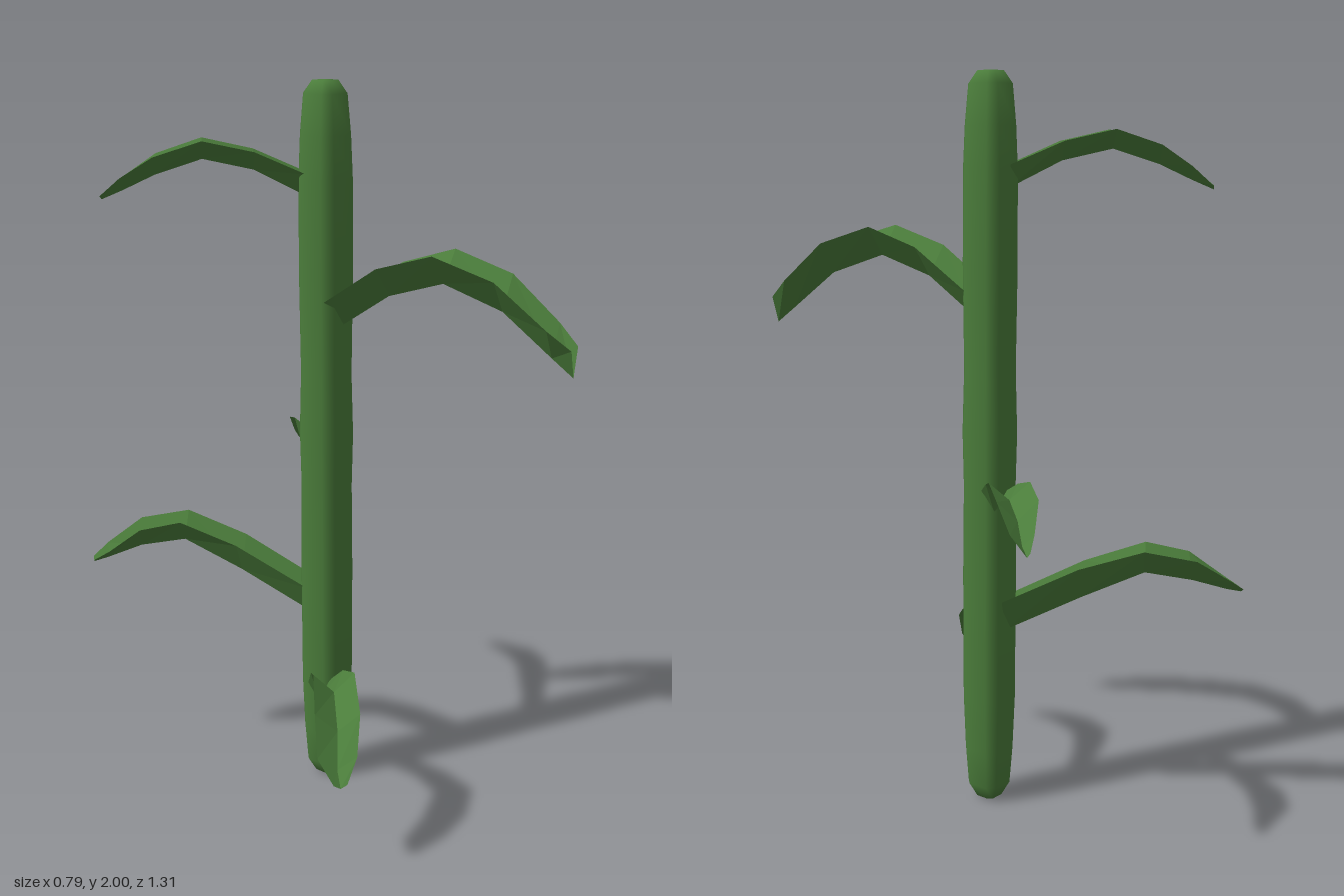
import * as THREE from 'three';

const green = new THREE.MeshStandardMaterial({ color: 0x4b7d3b, side: THREE.DoubleSide });
green.name = 'leaf green';

// Each leaf: stations of [x, z, height of the raised edges, half width, depth of the fold]
const LEAVES = {
  topLeaf: [
    [-0.02, -0.11, 1.76, 0.035, 0.06], [-0.115, -0.21, 1.82, 0.045, 0.05], [-0.215, -0.3, 1.85, 0.05, 0.05],
    [-0.3, -0.39, 1.81, 0.048, 0.05], [-0.355, -0.455, 1.755, 0.035, 0.035], [-0.385, -0.505, 1.705, 0.018, 0.01],
  ],
  frontLeaf: [
    [0.01, -0.03, 1.43, 0.058, 0.08], [0.018, 0.14, 1.54, 0.064, 0.08], [0.036, 0.3, 1.59, 0.066, 0.08],
    [0.07, 0.46, 1.54, 0.066, 0.085], [0.102, 0.59, 1.43, 0.054, 0.08], [0.118, 0.645, 1.38, 0.03, 0.075],
  ],
  rightBackLeaf: [
    [0.045, -0.115, 0.9, 0.035, 0.06], [0.14, -0.22, 0.95, 0.042, 0.05], [0.25, -0.335, 0.99, 0.052, 0.045],
    [0.31, -0.41, 0.965, 0.052, 0.05], [0.36, -0.465, 0.9, 0.03, 0.03], [0.385, -0.5, 0.865, 0.008, 0.01],
  ],
  longBackLeaf: [
    [0, -0.12, 0.59, 0.045, 0.09], [-0.09, -0.31, 0.7, 0.05, 0.09], [-0.17, -0.46, 0.76, 0.055, 0.07],
    [-0.25, -0.56, 0.735, 0.055, 0.065], [-0.325, -0.62, 0.67, 0.038, 0.03], [-0.36, -0.645, 0.64, 0.015, 0.01],
  ],
  lowFrontLeaf: [
    [-0.04, -0.06, 0.31, 0.03, 0.06], [-0.13, 0.05, 0.41, 0.045, 0.055], [-0.205, 0.14, 0.46, 0.056, 0.055],
    [-0.29, 0.225, 0.4, 0.06, 0.05], [-0.35, 0.275, 0.315, 0.052, 0.035], [-0.378, 0.31, 0.26, 0.018, 0.01],
  ],
};

// V-folded strip with raised edges and a low midrib, faceted
function makeLeaf(name, stations) {
  const pos = [], idx = [];
  stations.forEach(([x, z, y, w, d], i) => {
    const a = stations[Math.max(i - 1, 0)], b = stations[Math.min(i + 1, stations.length - 1)];
    const len = Math.hypot(b[0] - a[0], b[1] - a[1]);
    const sx = (b[1] - a[1]) / len * w, sz = -(b[0] - a[0]) / len * w;
    pos.push(x - sx, y, z - sz, x, y - d, z, x + sx, y, z + sz);
    if (i === 0) return;
    for (let k = 0; k < 2; k++) {
      const q = (i - 1) * 3 + k;
      idx.push(q, q + 3, q + 1, q + 1, q + 3, q + 4);
    }
  });
  const indexed = new THREE.BufferGeometry();
  indexed.setAttribute('position', new THREE.Float32BufferAttribute(pos, 3));
  indexed.setIndex(idx);
  const geo = indexed.toNonIndexed();
  geo.computeVertexNormals();
  const mesh = new THREE.Mesh(geo, green);
  mesh.name = name;
  return mesh;
}

// Slightly uneven stalk with a rounded-square section and rounded ends
function makeStalk() {
  const profile = [
    [0, 0], [0.03, 0.005], [0.05, 0.045], [0.057, 0.15], [0.062, 0.3], [0.063, 0.65], [0.061, 0.9], [0.064, 1.05],
    [0.06, 1.22], [0.063, 1.5], [0.062, 1.75], [0.058, 1.86], [0.05, 1.965], [0.03, 1.998], [0, 2],
  ].map(([r, y]) => new THREE.Vector2(r / Math.cos(Math.PI / 8), y));
  const geo = new THREE.LatheGeometry(profile, 8, Math.PI / 8);
  const p = geo.attributes.position;
  // Widen the four flat sides so the octagon reads as a rounded square
  for (let i = 0; i < p.count; i++) {
    const x = p.getX(i), z = p.getZ(i);
    if (Math.abs(x) < Math.abs(z)) p.setX(i, x * 1.45);
    else p.setZ(i, z * 1.45);
  }
  const mesh = new THREE.Mesh(geo, green);
  mesh.name = 'stalk';
  mesh.position.set(0.01, 0, -0.07);
  return mesh;
}

export function createModel() {
  const model = new THREE.Group();
  model.name = 'plantStalk';
  model.add(makeStalk());
  for (const [name, stations] of Object.entries(LEAVES)) model.add(makeLeaf(name, stations));
  return model;
}
